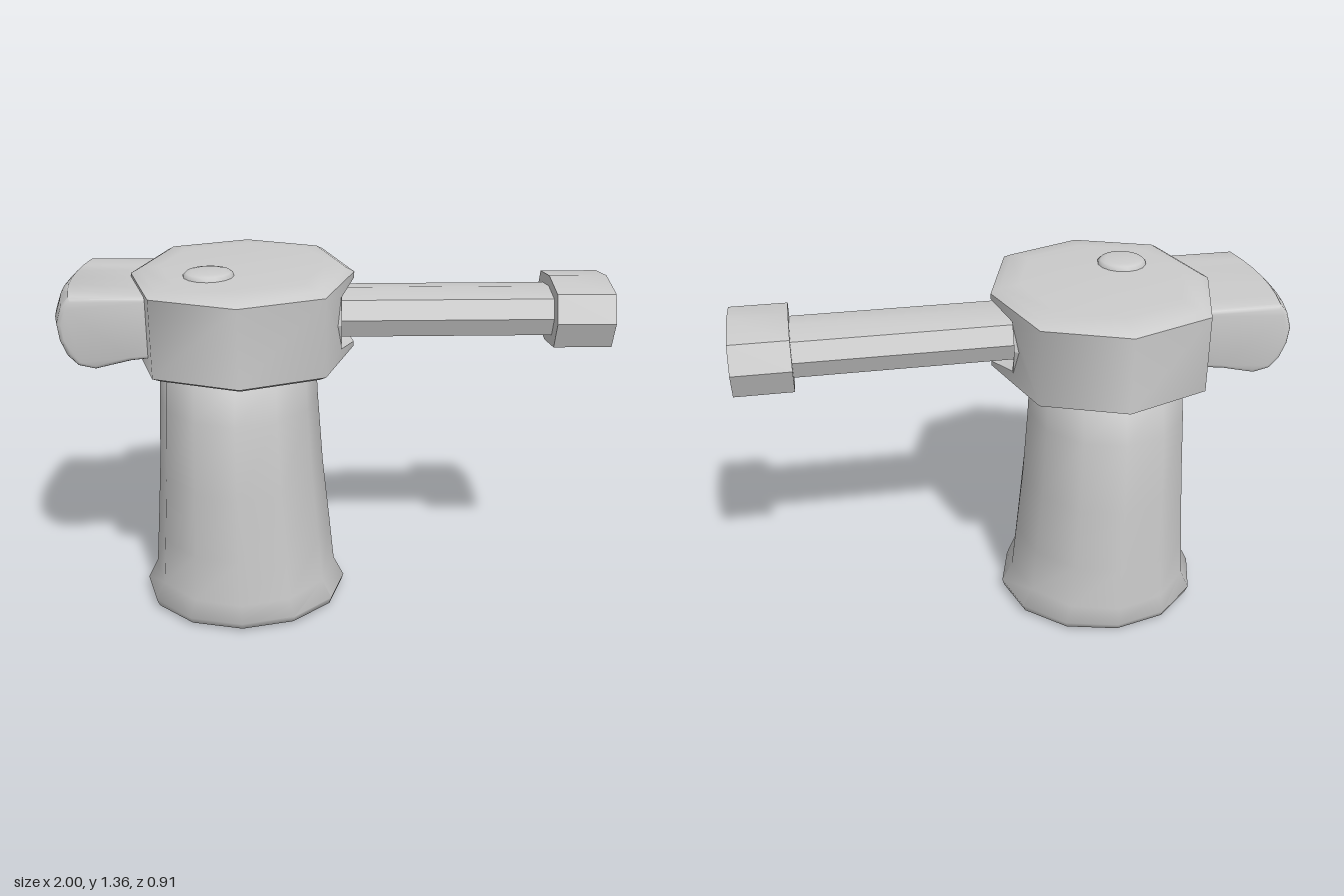
import * as THREE from 'three';
import { toCreasedNormals, mergeGeometries } from 'three/addons/utils/BufferGeometryUtils.js';

const AXIS_Y = 1.168; // height of the barrel axis

// Skins a stack of equal-length rings; rings run counter-clockwise seen from the end.
function loft(rings, { start = false, end = false, skip = () => false } = {}) {
  const pos = [];
  const n = rings[0].length;
  const tri = (...pts) => pts.forEach((p) => pos.push(...p));
  const cap = (ring, flip) => {
    const mid = [0, 1, 2].map((k) => ring.reduce((s, p) => s + p[k], 0) / n);
    ring.forEach((p, j) => {
      const q = ring[(j + 1) % n];
      if (flip) tri(mid, q, p); else tri(mid, p, q);
    });
  };
  for (let i = 0; i < rings.length - 1; i++) {
    for (let j = 0; j < n; j++) {
      if (skip(i, j)) continue;
      const k = (j + 1) % n;
      const a = rings[i][j], b = rings[i][k], c = rings[i + 1][k], d = rings[i + 1][j];
      tri(a, b, c);
      tri(a, c, d);
    }
  }
  if (start) cap(rings[0], true);
  if (end) cap(rings[rings.length - 1], false);
  const g = new THREE.BufferGeometry();
  g.setAttribute('position', new THREE.Float32BufferAttribute(pos, 3));
  return g;
}

// Flattened octagon around the barrel axis; x is a number or a function of z.
function octagon(x, ry, rz) {
  const unit = [[1, 0], [0.8, 0.8], [0, 1], [-0.8, 0.8], [-1, 0], [-0.8, -0.8], [0, -1], [0.8, -0.8]];
  return unit.map(([y, z]) => [typeof x === 'function' ? x(z * rz) : x, AXIS_Y + y * ry, z * rz]);
}

export function createModel() {
  const group = new THREE.Group();
  const material = new THREE.MeshStandardMaterial({ color: 0xcccccc });
  const add = (name, geometry, crease = 0.5) => {
    const mesh = new THREE.Mesh(toCreasedNormals(geometry, crease), material);
    mesh.name = name;
    group.add(mesh);
    return mesh;
  };

  // Grip: flared twelve-sided column [y, x min, x max, z min, z max]
  const grip = [
    [0, -0.72, 0.01, -0.345, 0.32],
    [0.012, -0.74, 0.03, -0.365, 0.34],
    [0.04, -0.75, 0.04, -0.38, 0.355],
    [0.12, -0.71, 0.0, -0.38, 0.355],
    [0.3, -0.695, -0.017, -0.372, 0.342],
    [0.55, -0.675, -0.042, -0.362, 0.335],
    [0.83, -0.66, -0.06, -0.34, 0.31],
    [0.97, -0.653, -0.066, -0.3, 0.27],
    [1.02, -0.64, -0.08, -0.265, 0.235],
  ].map(([y, x0, x1, z0, z1]) => Array.from({ length: 12 }, (_, i) => {
    const a = (i / 12) * Math.PI * 2;
    return [(x0 + x1) / 2 + Math.cos(a) * (x1 - x0) / 2, y, (z0 + z1) / 2 - Math.sin(a) * (z1 - z0) / 2];
  }));
  add('grip', loft(grip, { start: true, end: true }), 0.9);

  // Head: eight-sided drum with softened rims, the two wall panels at +x left open
  const cx = -0.33;
  const plan = [[0.405, 0], [0.295, -0.34], [0, -0.455], [-0.305, -0.34],
    [-0.405, 0], [-0.305, 0.34], [0, 0.455], [0.295, 0.34]];
  const level = (y, s) => plan.map(([x, z]) => [cx + x * s, y, z * s]);
  const head = loft([
    level(1.003, 0.74), level(1.01, 0.92), level(1.028, 1),
    level(1.312, 1), level(1.33, 0.92), level(1.338, 0.74),
  ], { start: true, end: true, skip: (i, j) => i === 2 && (j === 0 || j === 7) });

  // Wall panels around the barrel socket
  const wallX = (z) => cx + 0.405 - Math.abs(z) * (0.11 / 0.34);
  const panels = [1, -1].map((s) => {
    const outline = [[0, 1.028], [0.34, 1.028], [0.34, 1.312], [0, 1.312],
      [0, AXIS_Y + 0.123], [0.16, AXIS_Y + 0.0984], [0.2, AXIS_Y],
      [0.16, AXIS_Y - 0.0984], [0, AXIS_Y - 0.123]];
    const shape = new THREE.Shape(outline.map(([u, v]) => new THREE.Vector2(s * u, v)));
    const g = new THREE.ShapeGeometry(shape).toNonIndexed();
    const p = g.attributes.position;
    for (let i = 0; i < p.count; i++) p.setXYZ(i, wallX(p.getX(i)), p.getY(i), -p.getX(i));
    g.deleteAttribute('normal');
    g.deleteAttribute('uv');
    return g;
  });
  add('head', mergeGeometries([head, ...panels]), 0.95);

  // Socket: recess in the head that takes the barrel
  add('barrelSocket', loft([
    octagon(wallX, 0.123, 0.2), octagon(0.025, 0.117, 0.19), octagon(-0.05, 0.1, 0.165),
  ], { end: true }));

  // Barrel and muzzle with a shallow bore
  add('barrel', loft([octagon(-0.08, 0.085, 0.138), octagon(0.8, 0.085, 0.138)], { start: true }));
  add('muzzle', loft([
    octagon(0.79, 0.08, 0.13), octagon(0.79, 0.123, 0.2), octagon(1, 0.123, 0.2),
    octagon(1, 0.093, 0.15), octagon(0.95, 0.09, 0.145),
  ], { start: true, end: true }));

  // Rear block: extruded side profile, its back bowed across the width
  const profile = [[-0.58, 1.285], [-0.94, 1.285], [-0.965, 1.26], [-0.985, 1.205], [-0.978, 1.15],
    [-0.955, 1.1], [-0.92, 1.068], [-0.86, 1.056], [-0.72, 1.085], [-0.58, 1.1]];
  const block = new THREE.ExtrudeGeometry(
    new THREE.Shape(profile.map(([x, y]) => new THREE.Vector2(x, y))),
    { depth: 0.51, steps: 6, bevelEnabled: true, bevelSize: 0.015, bevelThickness: 0.015, bevelSegments: 2 },
  );
  block.translate(0, 0, -0.25);
  const bp = block.attributes.position;
  for (let i = 0; i < bp.count; i++) {
    const back = THREE.MathUtils.clamp((-0.7 - bp.getX(i)) / 0.3, 0, 1);
    bp.setX(i, bp.getX(i) + 0.04 * back * (bp.getZ(i) / 0.27) ** 2);
  }
  add('rearBlock', block, 0.8);

  // Button on top of the head
  const button = new THREE.LatheGeometry([
    [0.09, 1.32], [0.09, 1.343], [0.08, 1.353], [0.06, 1.357], [0, 1.357],
  ].map(([r, y]) => new THREE.Vector2(r, y)), 16);
  add('button', button, 0.9).position.set(-0.443, 0, 0.137);

  return group;
}
